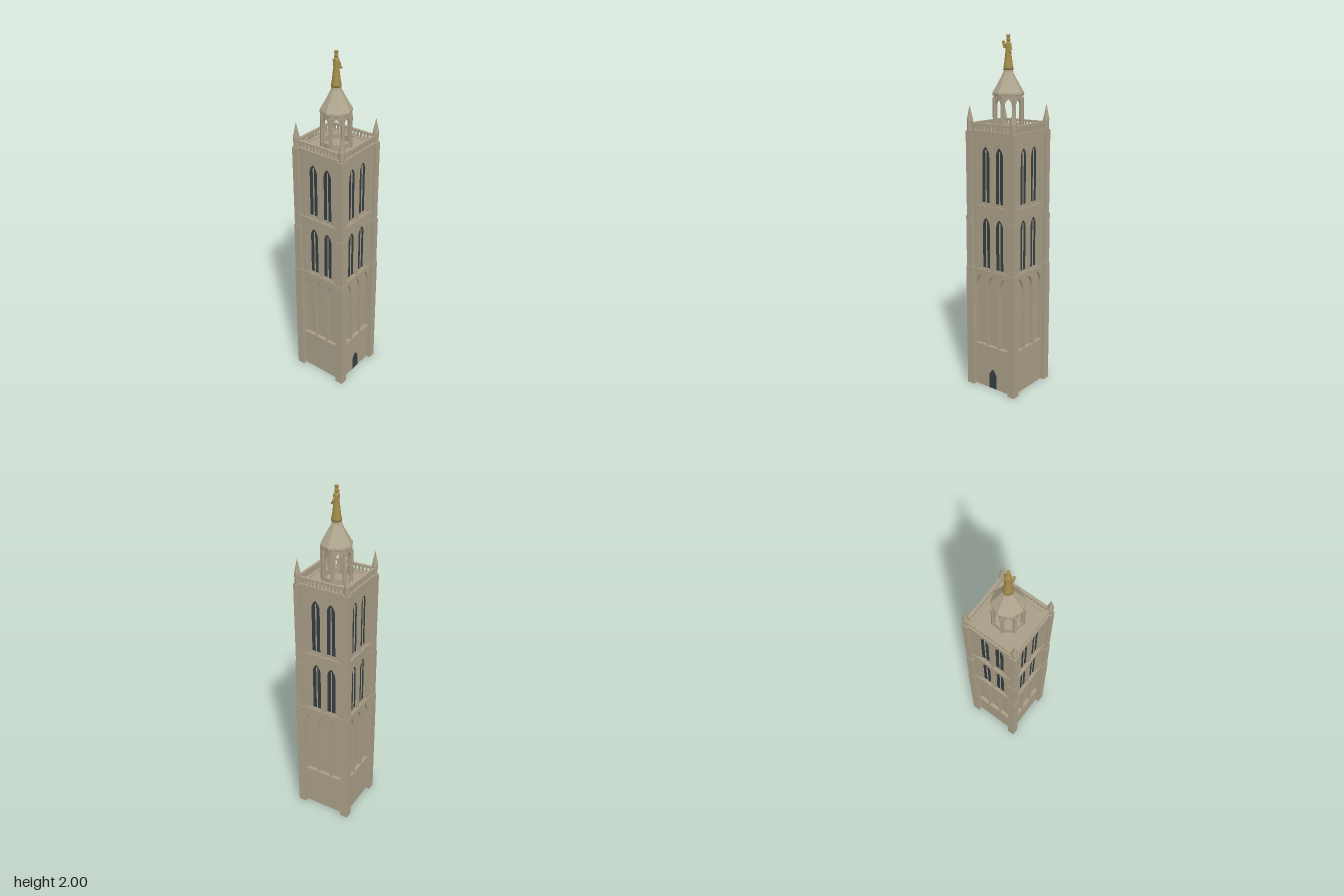
import * as THREE from 'three';

const mat = (name, color) => Object.assign(new THREE.MeshStandardMaterial({ color }), { name });

// Pointed arch outline, centred on x, from y0 to its tip at y1
function lancet(target, x, y0, y1, w, rise = w) {
  const h = w / 2, s = y1 - rise;
  target.moveTo(x - h, y0);
  target.lineTo(x + h, y0);
  target.lineTo(x + h, s);
  target.quadraticCurveTo(x + h, s + rise * 0.6, x, y1);
  target.quadraticCurveTo(x - h, s + rise * 0.6, x - h, s);
  target.closePath();
  return target;
}

function rect(target, x0, y0, x1, y1) {
  target.moveTo(x0, y0);
  target.lineTo(x1, y0);
  target.lineTo(x1, y1);
  target.lineTo(x0, y1);
  target.closePath();
  return target;
}

// Plate from depth z0 to z1 with holes cut through it
function plate(shape, holes, z0, z1) {
  shape.holes.push(...holes);
  const g = new THREE.ExtrudeGeometry(shape, { depth: z1 - z0, bevelEnabled: false, curveSegments: 5 });
  return g.translate(0, 0, z0);
}

export function createModel() {
  const stone = mat('stone', 0xa99e87);
  const roofStone = mat('roofStone', 0xb0a78f);
  const glass = mat('darkGlass', 0x343e43);
  const gold = mat('gold', 0xa58d4c);

  const model = new THREE.Group();
  model.name = 'bellTower';
  const tower = new THREE.Group();
  tower.name = 'tower';
  tower.rotation.y = 0.132;
  model.add(tower);

  const add = (parent, name, geo, material, x = 0, y = 0, z = 0) => {
    const m = new THREE.Mesh(geo, material);
    m.name = name;
    m.position.set(x, y, z);
    parent.add(m);
    return m;
  };
  const box = (parent, name, w, y0, y1, d, x = 0, z = 0, material = stone) =>
    add(parent, name, new THREE.BoxGeometry(w, y1 - y0, d), material, x, (y0 + y1) / 2, z);
  const P = () => new THREE.Path();
  const S = () => new THREE.Shape();

  // Hollow core, open underneath, with the roof deck on top
  const core = plate(rect(S(), -0.132, -0.132, 0.132, 0.132),
    [rect(P(), -0.124, -0.124, 0.124, 0.124)], 0, 1.49);
  add(tower, 'core', core.rotateX(-Math.PI / 2), stone);
  box(tower, 'roofDeck', 0.3, 1.48, 1.5, 0.3);

  for (let k = 0; k < 4; k++) {
    const side = new THREE.Group();
    side.name = 'side' + (k + 1);
    side.rotation.y = k * Math.PI / 2;
    tower.add(side);

    box(side, 'plinthWall', 0.27, 0, 0.25, 0.014, 0, 0.139);
    for (const [y0, y1, z] of [[0.243, 0.262, 0.152], [0.695, 0.72, 0.152], [1.07, 1.092, 0.152], [1.465, 1.482, 0.153]])
      box(side, 'stringCourse', 0.27, y0, y1, z - 0.13, 0, (z + 0.13) / 2);

    // Blind arcade of three tall arches
    const arches = [-1, 0, 1].map(i => lancet(P(), i * 0.084, 0.264, 0.692, 0.068, 0.08));
    add(side, 'blindArcade', plate(rect(S(), -0.132, 0.26, 0.132, 0.7), arches, 0.13, 0.146), stone);
    for (const x of [-0.042, 0.042]) box(side, 'arcadeShaft', 0.007, 0.262, 0.64, 0.006, x, 0.148);

    // Two storeys of paired bell windows
    for (const [y0, y1, w0, w1] of [[0.72, 1.07, 0.732, 1.025], [1.09, 1.465, 1.11, 1.42]]) {
      const bays = [-1, 1].map(s => rect(P(), s * 0.052 - 0.045, y0 + 0.006, s * 0.052 + 0.045, y1 - 0.006));
      add(side, 'bayFrame', plate(rect(S(), -0.132, y0, 0.132, y1), bays, 0.138, 0.147), stone);
      const holes = [-1, 1].map(s => lancet(P(), s * 0.047, w0, w1, 0.054, 0.055));
      add(side, 'windowWall', plate(rect(S(), -0.132, y0, 0.132, y1), holes, 0.13, 0.141), stone);
      for (const s of [-1, 1]) {
        box(side, 'windowGlass', 0.056, w0 - 0.002, w1 + 0.002, 0.003, s * 0.047, 0.1335, glass);
        box(side, 'windowMullion', 0.005, w0, w1 - 0.02, 0.005, s * 0.047, 0.1365);
      }
    }

    // Cornice and open parapet
    box(side, 'cornice', 0.27, 1.48, 1.505, 0.03, 0, 0.143);
    box(side, 'parapetRail', 0.28, 1.532, 1.543, 0.016, 0, 0.146);
    for (let i = 0; i < 12; i++)
      box(side, 'baluster', 0.009, 1.504, 1.533, 0.009, -0.121 + i * 0.022, 0.146);

    // Stepped corner buttress with its pinnacle
    const c = 0.148;
    box(side, 'lowerButtress', 0.046, 0, 0.73, 0.046, c, c);
    box(side, 'middleButtress', 0.04, 0.73, 1.025, 0.04, c, c);
    box(side, 'upperButtress', 0.034, 1.025, 1.5, 0.034, c, c);
    const base = new THREE.CylinderGeometry(0.017, 0.015, 0.055, 8).toNonIndexed();
    base.computeVertexNormals();
    add(side, 'pinnacleBase', base, stone, c, 1.5275, c);
    const spire = new THREE.ConeGeometry(0.018, 0.085, 8).toNonIndexed();
    spire.computeVertexNormals();
    add(side, 'pinnacleSpire', spire, stone, c, 1.5955, c);
  }

  // Front door, set through the wall
  add(tower, 'door', plate(lancet(S(), 0, 0.001, 0.12, 0.052, 0.05), [], 0.123, 0.1475), glass);

  // Open eight-sided lantern
  const lantern = new THREE.Group();
  lantern.name = 'lantern';
  model.add(lantern);
  const apothem = 0.077, faceW = 2 * apothem * Math.tan(Math.PI / 8);
  for (let k = 0; k < 8; k++) {
    const face = new THREE.Group();
    face.name = 'lanternFace' + (k + 1);
    face.rotation.y = k * Math.PI / 4;
    lantern.add(face);
    add(face, 'lanternArch', plate(rect(S(), -faceW / 2, 1.5, faceW / 2, 1.695),
      [lancet(P(), 0, 1.53, 1.67, 0.038, 0.04)], apothem - 0.012, apothem), stone);
    const pier = new THREE.Group();
    pier.name = 'lanternPier';
    pier.rotation.y = Math.PI / 8;
    face.add(pier);
    box(pier, 'pierShaft', 0.013, 1.5, 1.675, 0.014, 0, 0.081);
  }

  // Lantern roof
  const cap = new THREE.LatheGeometry([[0, 1.685], [0.084, 1.685], [0.087, 1.692], [0.086, 1.702], [0.062, 1.742],
    [0.04, 1.782], [0.027, 1.808], [0.025, 1.824], [0, 1.824]].map(p => new THREE.Vector2(...p)), 8).toNonIndexed();
  cap.computeVertexNormals();
  add(tower, 'lanternRoof', cap, roofStone);

  // Gilded robed figure
  const statue = new THREE.Group();
  statue.name = 'statue';
  model.add(statue);
  const robe = new THREE.LatheGeometry([[0, 1.82], [0.027, 1.82], [0.027, 1.832], [0.023, 1.85], [0.018, 1.895],
    [0.014, 1.925], [0.018, 1.948], [0.015, 1.96], [0.006, 1.966], [0, 1.966]].map(p => new THREE.Vector2(...p)), 10);
  add(statue, 'robe', robe, gold);
  add(statue, 'head', new THREE.SphereGeometry(0.0115, 10, 8), gold, 0, 1.975, 0);
  add(statue, 'crown', new THREE.CylinderGeometry(0.011, 0.008, 0.016, 8), gold, 0, 1.992, 0);
  const limb = (name, pts, r) => add(statue, name, new THREE.TubeGeometry(
    new THREE.CatmullRomCurve3(pts.map(p => new THREE.Vector3(...p))), 8, r, 6), gold);
  limb('raisedArm', [[-0.013, 1.95, 0], [-0.021, 1.932, 0.006], [-0.026, 1.958, 0.011]], 0.006);
  add(statue, 'orb', new THREE.SphereGeometry(0.008, 8, 6), gold, -0.025, 1.964, 0.011);
  limb('bentArm', [[0.013, 1.95, 0], [0.023, 1.925, 0.003], [0.02, 1.912, 0.013]], 0.006);
  add(statue, 'hand', new THREE.SphereGeometry(0.007, 8, 6), gold, 0.022, 1.915, 0.011);

  return model;
}
